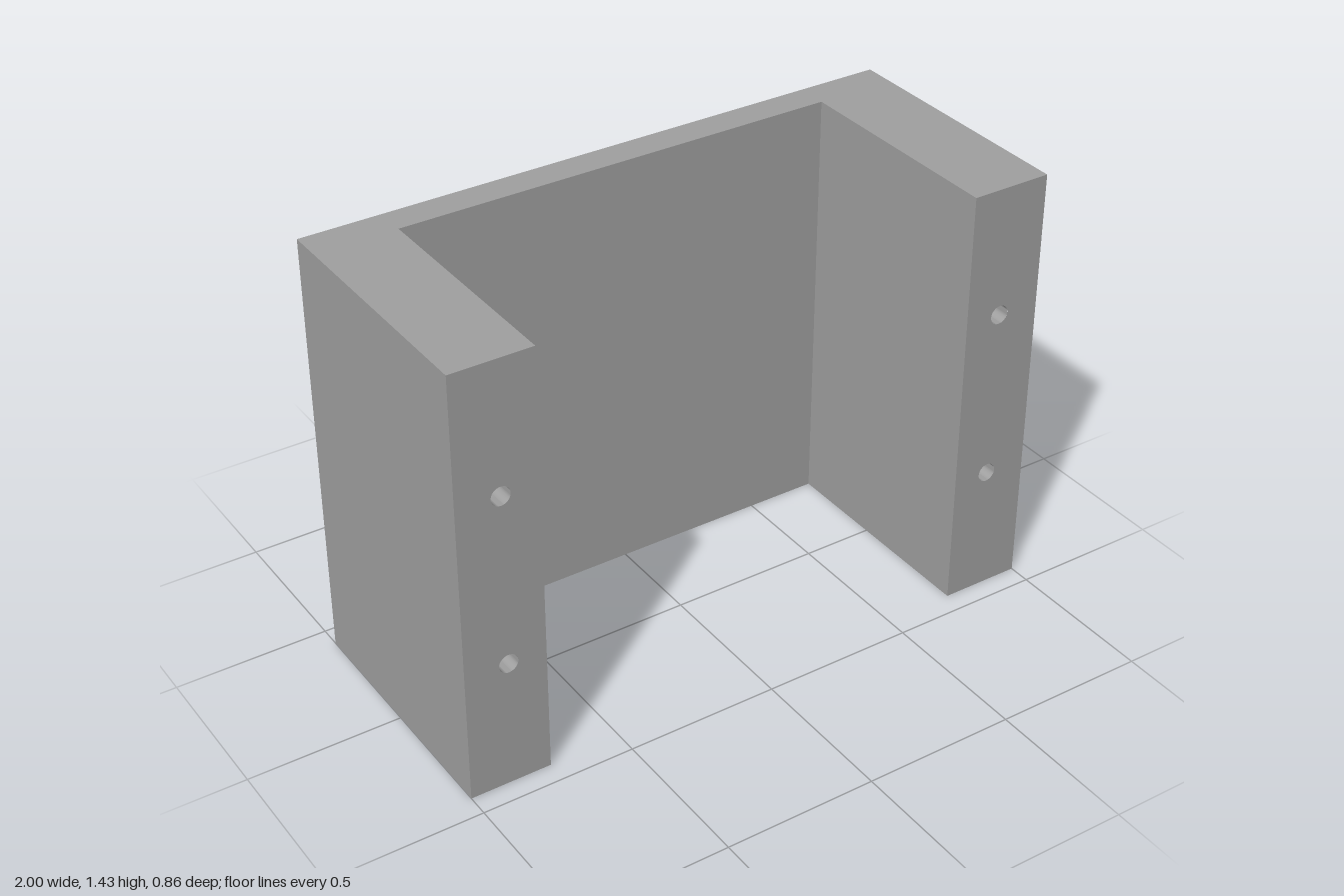
import * as THREE from 'three';
import { toCreasedNormals } from 'three/addons/utils/BufferGeometryUtils.js';

const HEIGHT = 1.43;
const HALF_DEPTH = 0.428;
const LEG_INNER = 0.735;
const WALL_INNER = -0.325;
const HOLE_R = 0.031;
const HOLE_DEPTH = 0.22;
const HOLE_X = 0.858;
const HOLE_Y = [0.43, 1.0];
const HOLE_Z = [-0.286, 0.286];
const SEGMENTS = 24;

// U-shaped plan as [x, z], walked so that every wall faces outward
const PLAN = [
  [LEG_INNER, HALF_DEPTH], [1, HALF_DEPTH], [1, -HALF_DEPTH], [-1, -HALF_DEPTH],
  [-1, HALF_DEPTH], [-LEG_INNER, HALF_DEPTH], [-LEG_INNER, WALL_INNER], [LEG_INNER, WALL_INNER],
];

// Flat face from outline points, with round holes cut at the given centres
function flatFace(points, holes = []) {
  const shape = new THREE.Shape(points.map(([x, y]) => new THREE.Vector2(x, y)));
  for (const [x, y] of holes) {
    shape.holes.push(new THREE.Path().absarc(x, y, HOLE_R, 0, Math.PI * 2, true));
  }
  return new THREE.ShapeGeometry(shape, SEGMENTS);
}

export function createModel() {
  const group = new THREE.Group();
  const grey = new THREE.MeshStandardMaterial({ color: 0xa0a0a0 });
  grey.name = 'plain grey';

  const add = (name, geometry) => {
    const mesh = new THREE.Mesh(geometry, grey);
    mesh.name = name;
    group.add(mesh);
    return mesh;
  };

  // Upright walls around the plan; the two leg fronts are drilled
  const names = ['leftLegFront', 'leftSide', 'back', 'rightSide',
    'rightLegFront', 'rightLegInside', 'backWallInside', 'leftLegInside'];
  const up = new THREE.Vector3(0, 1, 0);
  PLAN.forEach(([ax, az], i) => {
    const [bx, bz] = PLAN[(i + 1) % PLAN.length];
    const start = new THREE.Vector3(ax, 0, az);
    const along = new THREE.Vector3(bx, 0, bz).sub(start);
    const length = along.length();
    along.normalize();
    const out = new THREE.Vector3().crossVectors(along, up);
    const holes = names[i].endsWith('LegFront')
      ? HOLE_Y.map((y) => [Math.sign(ax) * HOLE_X - ax, y]) : [];
    const wall = flatFace([[0, 0], [length, 0], [length, HEIGHT], [0, HEIGHT]], holes);
    wall.applyMatrix4(new THREE.Matrix4().makeBasis(along, up, out).setPosition(start));
    add(names[i], wall);
  });

  // Top and drilled underside
  const top = flatFace(PLAN.map(([x, z]) => [x, -z]));
  add('top', top.rotateX(-Math.PI / 2).translate(0, HEIGHT, 0));
  const footHoles = [-1, 1].flatMap((s) => HOLE_Z.map((z) => [s * HOLE_X, z]));
  add('underside', flatFace(PLAN, footHoles).rotateX(Math.PI / 2));

  // Blind screw holes: inward-facing bore with a flat end
  const bore = toCreasedNormals(new THREE.LatheGeometry([
    new THREE.Vector2(HOLE_R, 0),
    new THREE.Vector2(HOLE_R, -HOLE_DEPTH),
    new THREE.Vector2(0, -HOLE_DEPTH),
  ], SEGMENTS), Math.PI / 4);
  for (const side of [-1, 1]) {
    for (const y of HOLE_Y) {
      const hole = add('frontScrewHole', bore);
      hole.rotation.x = Math.PI / 2;
      hole.position.set(side * HOLE_X, y, HALF_DEPTH);
    }
    for (const z of HOLE_Z) {
      const hole = add('undersideScrewHole', bore);
      hole.rotation.x = Math.PI;
      hole.position.set(side * HOLE_X, 0, z);
    }
  }
  return group;
}
